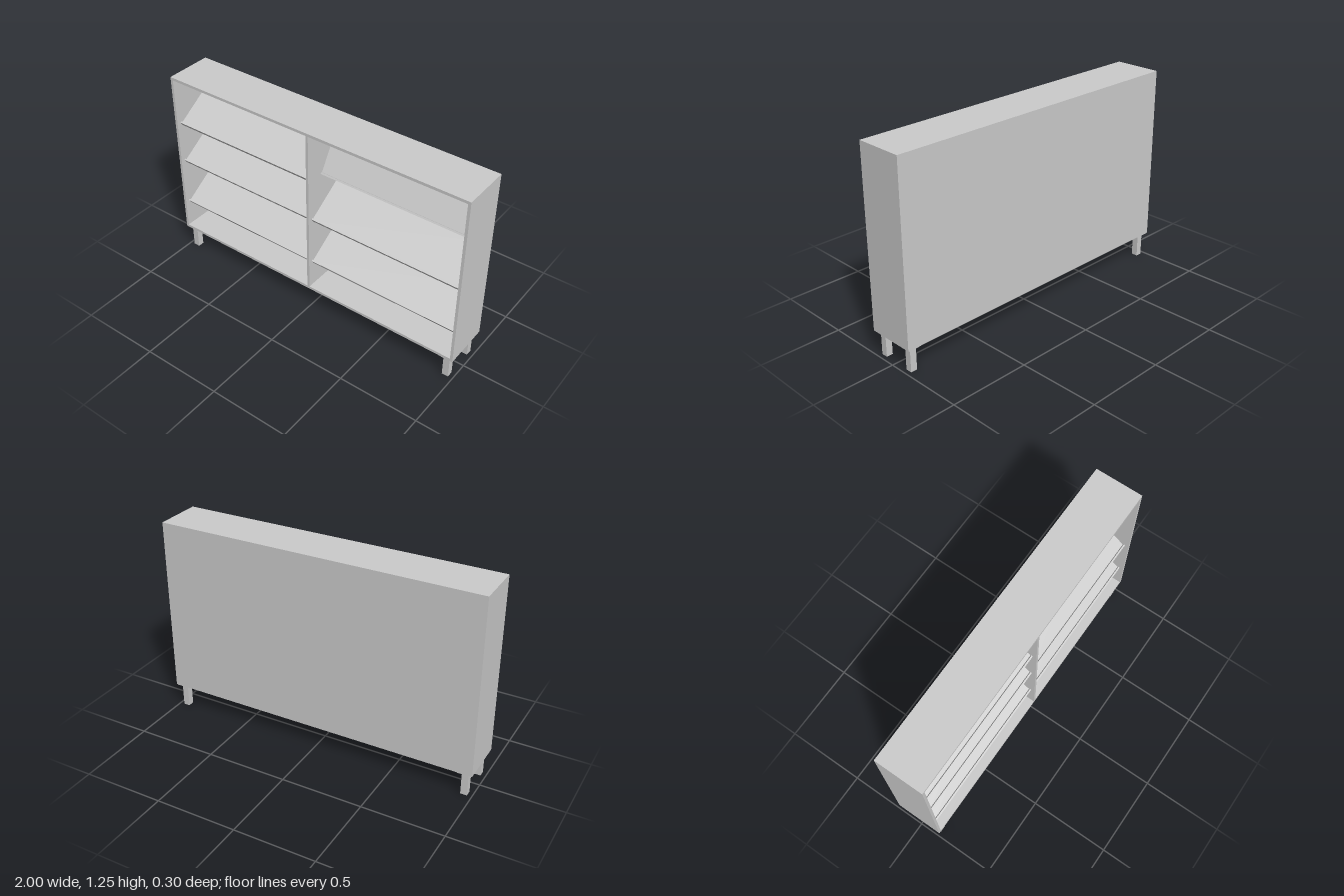
import * as THREE from 'three';

const material = new THREE.MeshStandardMaterial({ color: 0xcccccc, flatShading: true });

// Box given by its minimum and maximum corners
function box(name, [x0, y0, z0], [x1, y1, z1]) {
  const geometry = new THREE.BoxGeometry(x1 - x0, y1 - y0, z1 - z0);
  geometry.translate((x0 + x1) / 2, (y0 + y1) / 2, (z0 + z1) / 2);
  const mesh = new THREE.Mesh(geometry, material);
  mesh.name = name;
  return mesh;
}

// Tilted display shelf with a retaining lip; the origin is its upper back edge
function slopedShelf(name, x0, x1, { y, z, length, angle, thick, lip }) {
  const shelf = new THREE.Group();
  shelf.name = name;
  shelf.add(
    box('shelfBoard', [x0, -thick, 0], [x1, 0, length]),
    box('shelfLip', [x0, 0, length - 0.01], [x1, lip, length]),
  );
  shelf.position.set(0, y, z);
  shelf.rotation.x = THREE.MathUtils.degToRad(angle);
  return shelf;
}

export function createModel() {
  const model = new THREE.Group();
  model.name = 'displayCabinet';

  const W = 1, D = 0.148, bottom = 0.153, top = 1.25, t = 0.017;

  // Carcass
  model.add(
    box('topPanel', [-W, top - t, -D], [W, top, D]),
    box('bottomPanel', [-W, bottom, -D], [W, bottom + t, D]),
    box('backPanel', [-W + t, bottom + t, -D], [W - t, top - t, -D + 0.014]),
    box('divider', [-0.008, bottom + t, -D + 0.014], [0.008, top - t, D]),
  );
  for (const [name, x] of [['leftSide', W - t], ['rightSide', -W]]) {
    model.add(box(name, [x, bottom + t, -D], [x + t, top - t, D]));
  }

  // Sloped shelves, three per bay; the upper one of the +x bay is a short, steep flap
  const regular = { z: -0.132, length: 0.297, angle: 33, thick: 0.016, lip: 0.012 };
  const flap = { z: -0.05, length: 0.174, angle: 60, thick: 0.008, lip: 0.01 };
  [1.085, 0.815, 0.505].forEach((y, i) => {
    model.add(slopedShelf('rightShelf', -W + t, -0.008, { ...regular, y }));
    model.add(i === 0
      ? slopedShelf('leftFlap', 0.015, W - t, { ...flap, y })
      : slopedShelf('leftShelf', 0.008, W - t, { ...regular, y }));
  });

  // Square legs with mounting plates
  for (const sx of [-1, 1]) {
    for (const sz of [-1, 1]) {
      const leg = new THREE.Group();
      leg.name = sz > 0 ? 'frontLeg' : 'backLeg';
      leg.add(
        box('legPost', [-0.02, 0, -0.02], [0.02, 0.149, 0.02]),
        box('legPlate', [-0.042, 0.149, -0.041], [0.042, bottom, 0.041]),
      );
      leg.position.set(sx * 0.952, 0, sz * 0.105);
      model.add(leg);
    }
  }

  return model;
}
